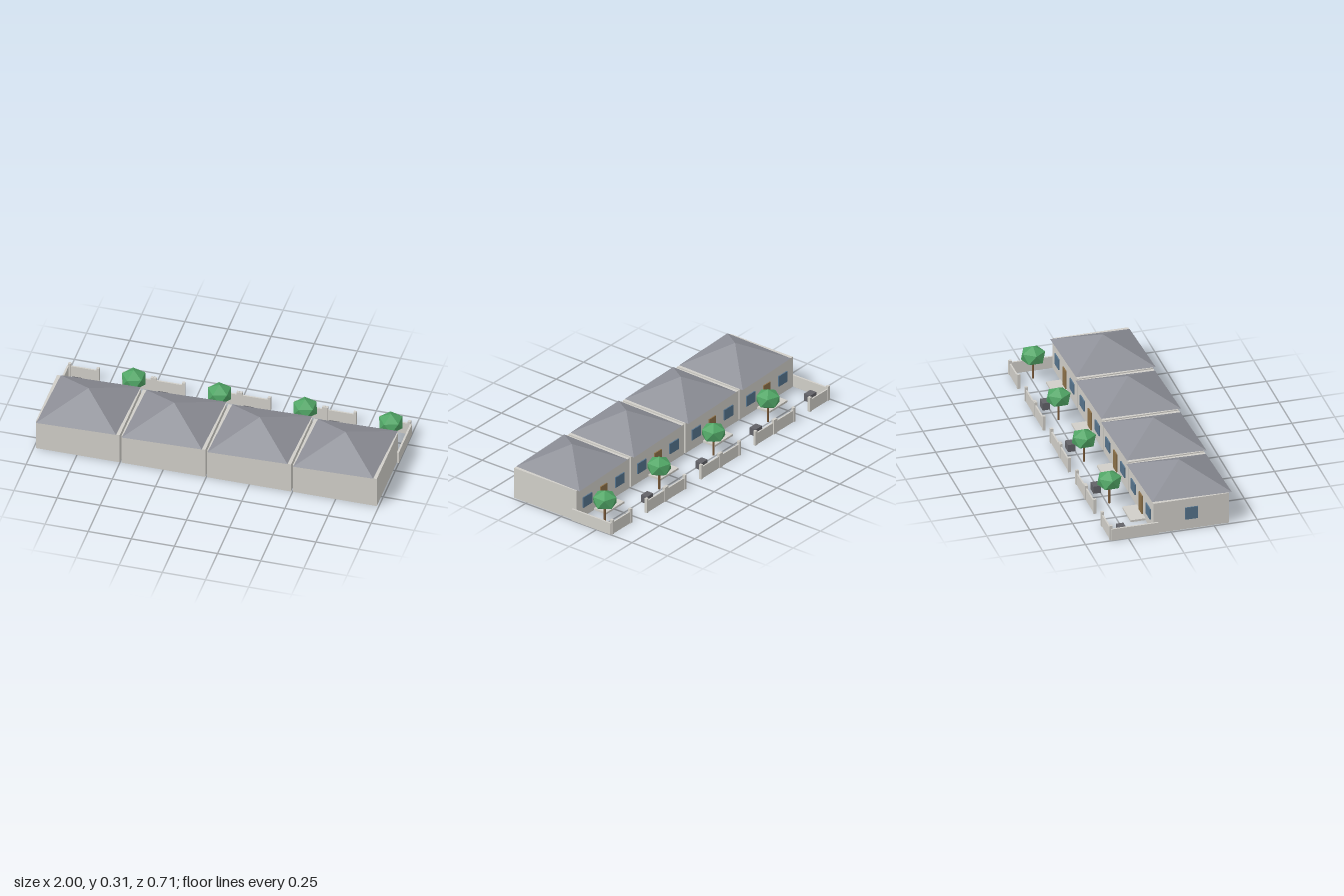
import * as THREE from 'three';

export function createModel() {
  const mat = (name, color) => {
    const m = new THREE.MeshStandardMaterial({ color });
    m.name = name;
    return m;
  };
  const plaster = mat('plaster', 0xd0cec8);
  const slate = mat('slate', 0x8e9098);
  const glass = mat('glass', 0x55738c);
  const wood = mat('wood', 0x8c7048);
  const leaf = mat('leaf', 0x50a565);
  const bark = mat('bark', 0x7a5a3a);
  const metal = mat('metal', 0x626268);
  slate.flatShading = leaf.flatShading = true;

  const add = (parent, name, geo, material, x, y, z) => {
    const mesh = new THREE.Mesh(geo, material);
    mesh.name = name;
    mesh.position.set(x, y, z);
    parent.add(mesh);
    return mesh;
  };
  // box standing on height y
  const box = (parent, name, material, w, h, d, x, y, z) =>
    add(parent, name, new THREE.BoxGeometry(w, h, d), material, x, y + h / 2, z);

  const WALL_H = 0.19, WALL_W = 0.486, WALL_D = 0.44, WALL_Z = 0.121;
  const BACK_Z = WALL_Z - WALL_D / 2;
  const FENCE_Z = -0.348, FENCE_H = 0.072;

  // four-sided roof whose base is a slightly stretched diamond
  const roofGeo = new THREE.ConeGeometry(1, 0.12, 4).toNonIndexed();
  roofGeo.scale(0.335, 1, 0.314);
  roofGeo.rotateY(Math.PI / 4);
  roofGeo.computeVertexNormals();

  // twenty-sided crown standing on one vertex
  const crownGeo = new THREE.IcosahedronGeometry(1, 0);
  crownGeo.rotateZ(Math.atan(2 / (1 + Math.sqrt(5))));
  crownGeo.scale(0.076, 0.06, 0.076);
  crownGeo.computeVertexNormals();

  function house() {
    const g = new THREE.Group();
    box(g, 'walls', plaster, WALL_W, WALL_H, WALL_D, 0, 0, WALL_Z);
    add(g, 'roof', roofGeo, slate, 0, WALL_H + 0.06, WALL_Z);

    // openings on the garden side and the end wall
    box(g, 'door', wood, 0.06, 0.125, 0.007, 0, 0, BACK_Z - 0.0035);
    for (const s of [-1, 1]) {
      box(g, 'gardenWindow', glass, 0.08, 0.065, 0.007, s * 0.147, 0.06, BACK_Z - 0.0035);
    }
    box(g, 'endWindow', glass, 0.006, 0.075, 0.075, -WALL_W / 2 - 0.003, 0.062, WALL_Z);
    box(g, 'porch', plaster, 0.165, 0.012, 0.086, 0, 0, BACK_Z - 0.043);

    // garden wall with a gateway in the middle
    for (const s of [-1, 1]) {
      box(g, 'gardenWall', plaster, 0.176, FENCE_H, 0.009, s * 0.16, 0, FENCE_Z);
      for (const x of [0.075, 0.24]) {
        box(g, 'post', plaster, 0.016, 0.09, 0.017, s * x, 0, FENCE_Z);
      }
    }

    box(g, 'grill', metal, 0.057, 0.045, 0.043, -0.18, 0, -0.27);

    add(g, 'trunk', new THREE.CylinderGeometry(0.006, 0.006, 0.1, 8), bark, 0.163, 0.05, -0.237);
    add(g, 'crown', crownGeo, leaf, 0.163, 0.145, -0.237);
    return g;
  }

  const model = new THREE.Group();
  model.name = 'terraceHouses';
  for (let i = 0; i < 4; i++) {
    const h = house();
    h.name = 'house';
    h.position.x = (i - 1.5) * 0.4967;
    model.add(h);
  }

  // garden walls closing both ends of the row
  for (const s of [-1, 1]) {
    box(model, 'endWall', plaster, 0.011, FENCE_H, 0.276, s * 0.9945, 0, -0.211);
  }
  return model;
}
